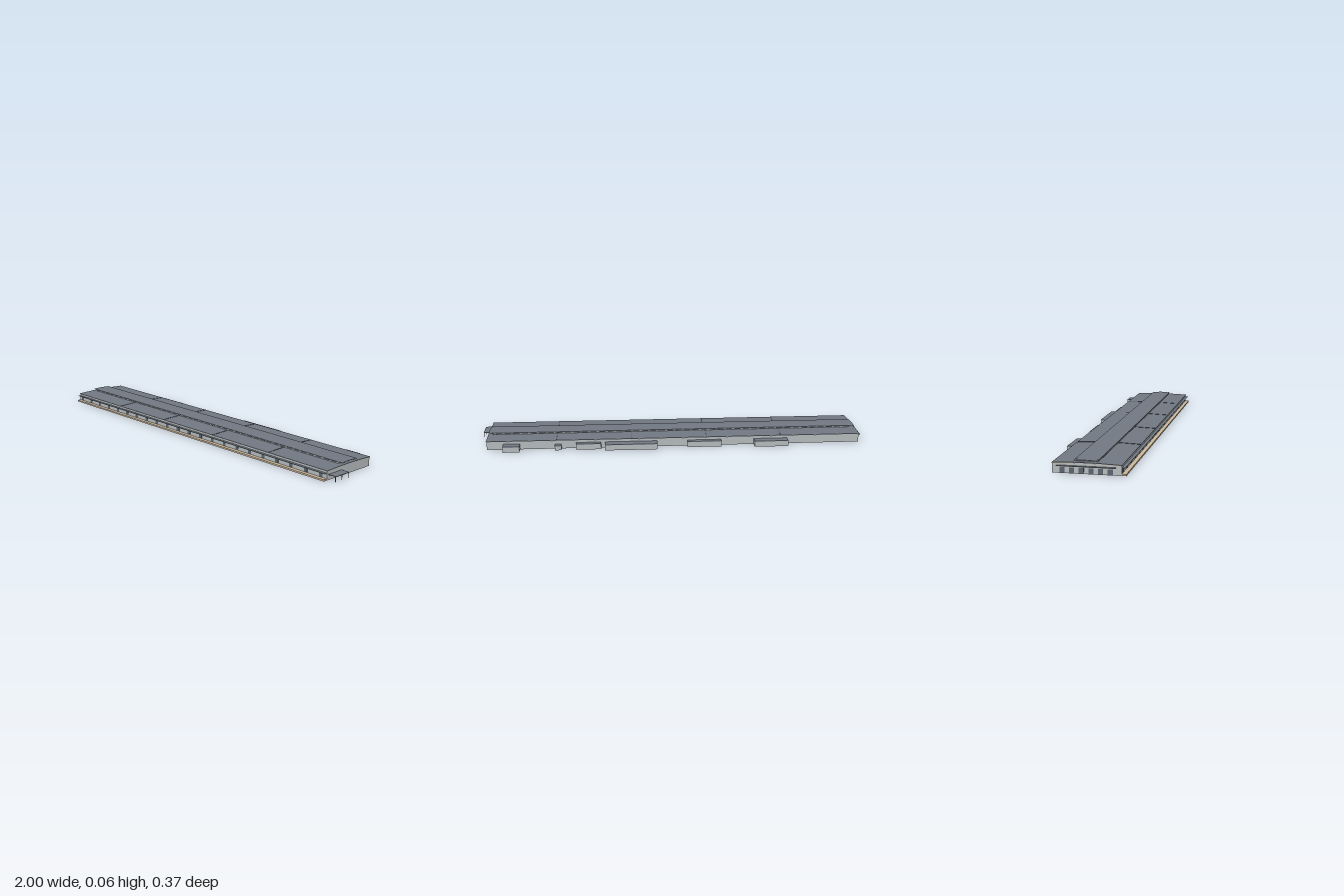
import * as THREE from 'three';

const mat = (color) => new THREE.MeshStandardMaterial({ color, side: THREE.DoubleSide });

export function createModel() {
  const root = new THREE.Group();
  root.name = 'warehouse';
  const wall = mat(0xb4babc), roof = mat(0x717882), dark = mat(0x5a626c), tan = mat(0xc9b79c);

  // Box given by its limits on each axis
  function box(name, m, x0, x1, y0, y1, z0, z1, parent = root) {
    const mesh = new THREE.Mesh(new THREE.BoxGeometry(x1 - x0, y1 - y0, z1 - z0), m);
    mesh.position.set((x0 + x1) / 2, (y0 + y1) / 2, (z0 + z1) / 2);
    mesh.name = name;
    parent.add(mesh);
    return mesh;
  }
  // Profile of [z, y] points drawn out along x
  function prism(name, m, pts, x0, x1, parent = root) {
    const shape = new THREE.Shape(pts.map(([z, y]) => new THREE.Vector2(-z, y)));
    const geo = new THREE.ExtrudeGeometry(shape, { depth: x1 - x0, bevelEnabled: false });
    geo.rotateY(Math.PI / 2).translate(x0, 0, 0);
    const mesh = new THREE.Mesh(geo, m);
    mesh.name = name;
    parent.add(mesh);
    return mesh;
  }
  const group = (name) => {
    const g = new THREE.Group();
    g.name = name;
    root.add(g);
    return g;
  };
  // Sheet of even thickness following a line of [z, y] points
  const sheet = (line, t) => [...line, ...line.slice().reverse().map(([z, y]) => [z, y - t])];

  const X0 = -0.985, X1 = 0.957, ZB = -0.139, ZF = 0.164, T = 0.002;

  // Outer walls, open underneath
  box('frontWall', wall, X0, X1, 0, 0.043, ZF - T, ZF);
  box('backWall', wall, X0, X1, 0, 0.043, ZB, ZB + T);
  const gable = [[ZF, 0], [ZF, 0.042], [0.06, 0.047], [-0.045, 0.047], [ZB, 0.042], [ZB, 0]];
  prism('leftEndWall', wall, gable, X1 - T, X1);
  prism('rightEndWall', wall, gable, X0, X0 + T);

  // Low roof slopes with a gap under the raised middle
  const slopes = [[[0.166, 0.046], [0.058, 0.05]], [[-0.141, 0.046], [-0.043, 0.05]]];
  slopes.forEach((line, i) => {
    const name = i ? 'back' : 'front';
    prism(name + 'RoofSlope', roof, sheet(line, T), X0 - 0.003, X1 + 0.003);
    const trim = line.map(([z, y]) => [z, y - T]);
    for (const x of [X0 - 0.002, X1])
      prism(name + 'GableTrim', tan, sheet(trim, 0.002), x, x + 0.002);
  });
  // Roof ends joining the slopes beyond the raised middle
  box('leftRoofEnd', roof, 0.932, X1 + 0.003, 0.048, 0.05, -0.045, 0.06);
  box('rightRoofEnd', roof, X0 - 0.003, -0.96, 0.048, 0.05, -0.045, 0.06);

  // Raised middle with window rows
  const monitor = group('roofMonitor');
  box('monitorFrontWall', wall, -0.96, 0.932, 0.046, 0.058, 0.054, 0.056, monitor);
  box('monitorBackWall', wall, -0.96, 0.932, 0.046, 0.058, -0.041, -0.039, monitor);
  for (const x of [-0.96, 0.93])
    box('monitorEndWall', wall, x, x + T, 0.046, 0.059, -0.041, 0.056, monitor);
  prism('monitorRoof', roof, sheet([[0.06, 0.0585], [0.0075, 0.0605], [-0.045, 0.0585]], 0.0015),
    -0.985, 0.957, monitor);
  for (let i = 0; i < 42; i++) {
    const x = -0.94 + i * 0.045;
    box('monitorWindow', dark, x - 0.016, x + 0.016, 0.051, 0.056, 0.056, 0.0568, monitor);
    box('monitorWindow', dark, x - 0.016, x + 0.016, 0.051, 0.056, -0.0418, -0.041, monitor);
  }

  // Dividing ribs across the roof
  for (const x of [-0.57, -0.18, 0.21, 0.6])
    for (const line of slopes)
      prism('roofRib', dark, sheet(line.map(([z, y]) => [z, y + 0.0015]), 0.0015), x - 0.0015, x + 0.0015);

  // Loading dock, front canopy and dock doors
  box('loadingDock', tan, X0, X1, 0, 0.008, ZF, 0.184);
  box('frontCanopy', roof, X0, X1, 0.033, 0.0345, ZF, 0.179);
  const doors = group('dockDoors');
  for (let i = 0; i < 22; i++) {
    const x = -0.957 + i * 0.0895;
    box('dockDoor', dark, x - 0.01, x + 0.01, 0.009, 0.028, ZF, ZF + 0.001, doors);
  }

  // Right end: shallow canopy over a row of doors
  box('rightEndCanopy', roof, -1, X0, 0.033, 0.0345, -0.12, 0.14);
  for (let i = 0; i < 6; i++) {
    const z = -0.095 + i * 0.042;
    box('rightEndDoor', dark, X0 - 0.001, X0, 0.002, 0.026, z - 0.011, z + 0.011, doors);
  }

  // Left end: porch roof on posts
  const porch = group('leftPorch');
  box('porchRoof', roof, X1, 1, 0.0245, 0.027, 0.061, 0.154, porch);
  for (const z of [0.152, 0.108, 0.063])
    box('porchPost', dark, 0.995, 0.9975, 0, 0.025, z - 0.0012, z + 0.0012, porch);

  // Back annexes, open underneath: [x0, x1, back z, height]
  const annexes = [[-0.603, -0.427, -0.182, 0.03], [-0.254, -0.078, -0.164, 0.03],
    [0.08, 0.35, -0.185, 0.03], [0.37, 0.5, -0.164, 0.03],
    [0.574, 0.608, -0.166, 0.024], [0.787, 0.872, -0.184, 0.03]];
  for (const [x0, x1, z, h] of annexes) {
    const g = group('backAnnex');
    box('annexBackWall', wall, x0, x1, 0, h - 0.001, z, z + 0.0015, g);
    box('annexSideWall', wall, x0, x0 + 0.0015, 0, h - 0.001, z, ZB, g);
    box('annexSideWall', wall, x1 - 0.0015, x1, 0, h - 0.001, z, ZB, g);
    box('annexRoof', roof, x0, x1, h - 0.001, h + 0.0005, z, ZB, g);
  }
  return root;
}
